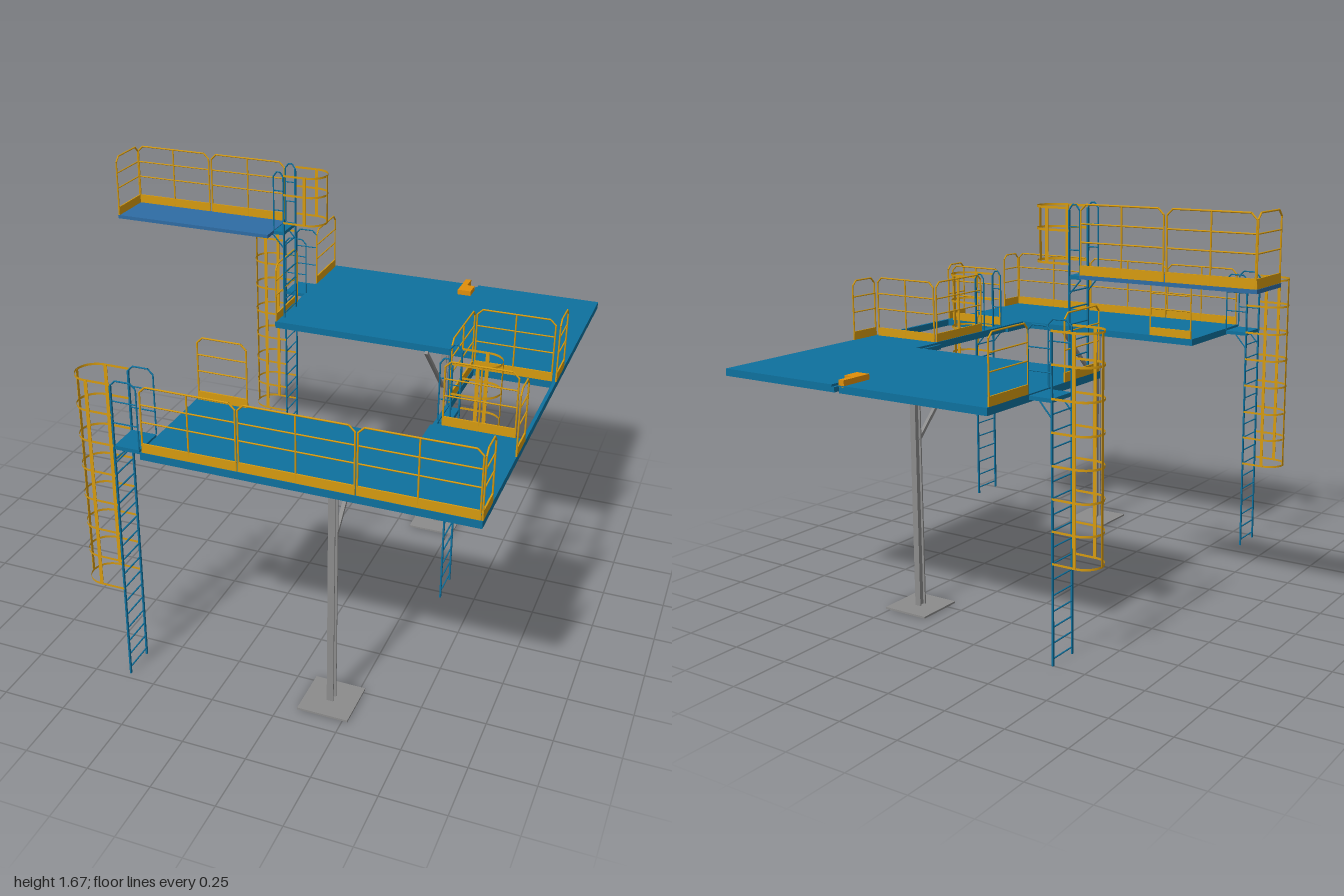
import * as THREE from 'three';
import { mergeGeometries } from 'three/addons/utils/BufferGeometryUtils.js';

const mat = (color, extra = {}) => new THREE.MeshStandardMaterial({ color, ...extra });
const BLUE = mat(0x0e719e), UPPER = mat(0x2e6ca4), GOLD = mat(0xd59a10), ORANGE = mat(0xe08e0a), GREY = mat(0x8c8c8c);
const STRAP = mat(0xd59a10, { side: THREE.DoubleSide });

// Box from its minimum and maximum corners
function box(x0, x1, y0, y1, z0, z1) {
  return new THREE.BoxGeometry(x1 - x0, y1 - y0, z1 - z0)
    .translate((x0 + x1) / 2, (y0 + y1) / 2, (z0 + z1) / 2);
}

// Round bar between two points
function bar(a, b, r = 0.0035) {
  const p = new THREE.Vector3(...a), q = new THREE.Vector3(...b), d = q.clone().sub(p);
  const g = new THREE.CylinderGeometry(r, r, d.length(), 8);
  g.applyQuaternion(new THREE.Quaternion().setFromUnitVectors(new THREE.Vector3(0, 1, 0), d.normalize()));
  return g.translate(...p.add(q).multiplyScalar(0.5).toArray());
}

const path = (pts, r) => pts.slice(1).map((p, i) => bar(pts[i], p, r));

function mesh(name, geometries, material) {
  const m = new THREE.Mesh(mergeGeometries(geometries.map(g => g.index ? g.toNonIndexed() : g)), material);
  m.name = name;
  return m;
}

// Guard rail panel with chamfered top corners, two mid rails and a toe board
function railing(x0, z0, x1, z1, y) {
  const len = Math.hypot(x1 - x0, z1 - z0);
  const at = (s, h) => [x0 + (x1 - x0) * s / len, y + h, z0 + (z1 - z0) * s / len];
  const top = 0.257, c = 0.022;
  const parts = path([at(0, 0), at(0, top - c), at(c, top), at(len - c, top), at(len, top - c), at(len, 0)]);
  for (const h of [0.12, 0.187]) parts.push(bar(at(0, h), at(len, h), 0.003));
  if (len > 0.26) parts.push(bar(at(len / 2, 0), at(len / 2, top)));
  const t = 0.003;
  parts.push(box(Math.min(x0, x1) - t, Math.max(x0, x1) + t, y, y + 0.036, Math.min(z0, z1) - t, Math.max(z0, z1) + t));
  return mesh('guardRail', parts, GOLD);
}

// Flat cage hoop: straight sides and a half circle
function hoop(x, y, z, dir, r, reach) {
  const n = 18, g = new THREE.PlaneGeometry(1, 0.009, n, 1), p = g.attributes.position;
  for (let i = 0; i < p.count; i++) {
    const k = i % (n + 1), a = (k - 1) / (n - 2) * Math.PI - Math.PI / 2;
    const end = k === 0 || k === n;
    p.setX(i, end ? x : x + dir * (reach + Math.cos(a) * r));
    p.setZ(i, z + (end ? (k ? r : -r) : Math.sin(a) * r));
    p.setY(i, p.getY(i) + y);
  }
  g.computeVertexNormals();
  return g;
}

// Ladder with landing step, hand rails and safety cage; dir is the cage side in x
function ladder({ x, z, dir, y0, deck, depth, hoops }) {
  const group = new THREE.Group();
  group.name = 'cagedLadder';
  const half = 0.065, top = deck + 0.255, inner = x - dir * depth, parts = [];
  for (const s of [-1, 1]) {
    const zs = z + s * half;
    parts.push(box(x - 0.003, x + 0.003, y0, top - 0.02, zs - 0.0045, zs + 0.0045));
    const c = Math.min(0.02, depth / 3) * dir;
    parts.push(...path([[x, top - 0.02, zs], [x - c, top, zs], [inner + c, top, zs],
      [inner, top - 0.02, zs], [inner, deck, zs]], 0.003));
    for (const h of [0.09, 0.175]) parts.push(bar([x, deck + h, zs], [inner, deck + h, zs], 0.0025));
    parts.push(bar([x, deck - 0.075, zs], [x - dir * 0.05, deck - 0.018, zs], 0.003));
  }
  for (let y = y0 + 0.028; y < deck - 0.01; y += 0.0615)
    parts.push(bar([x, y, z - half], [x, y, z + half], 0.003));
  parts.push(box(Math.min(x, inner), Math.max(x, inner), deck - 0.018, deck - 0.003, z - half, z + half));
  group.add(mesh('ladder', parts, BLUE));

  const r = 0.07, reach = 0.1, w = 0.007, lo = hoops[0], hi = hoops[hoops.length - 1];
  const cage = hoops.map(y => hoop(x, y, z, dir, r, reach));
  const xs = x + dir * (reach - 0.005), xa = x + dir * (reach + r);
  for (const s of [-1, 1]) cage.push(box(xs - w, xs + w, lo, hi, z + s * r - 0.001, z + s * r + 0.001));
  cage.push(box(xa - 0.001, xa + 0.001, lo, hi, z - w, z + w));
  group.add(mesh('safetyCage', cage, STRAP));
  return group;
}

// Deck plate from a plan outline of [x, z] corners
function plate(points, y0, y1) {
  const shape = new THREE.Shape(points.map(([x, z]) => new THREE.Vector2(x, -z)));
  return new THREE.ExtrudeGeometry(shape, { depth: y1 - y0, bevelEnabled: false })
    .rotateX(-Math.PI / 2).translate(0, y0, 0);
}

// Beams along the outline, plus joists across a rectangle
function framing(points, [x0, x1, z0, z1], nx, nz) {
  const b = 0.012, lo = 0.983, hi = 1.003, parts = [];
  points.forEach(([ax, az], i) => {
    const [bx, bz] = points[(i + 1) % points.length];
    const cx = (x0 + x1) / 2, cz = (z0 + z1) / 2;
    if (Math.abs(ax - bx) < 1e-6) {
      const s = ax > cx ? -b : b;
      parts.push(box(Math.min(ax, ax + s), Math.max(ax, ax + s), lo, hi, Math.min(az, bz), Math.max(az, bz)));
    } else {
      const s = az > cz ? -b : b;
      parts.push(box(Math.min(ax, bx), Math.max(ax, bx), lo, hi, Math.min(az, az + s), Math.max(az, az + s)));
    }
  });
  for (let i = 1; i < nx; i++) {
    const x = x0 + (x1 - x0) * i / nx;
    parts.push(box(x - b / 2, x + b / 2, lo + 0.002, hi, z0, z1));
  }
  for (let i = 1; i < nz; i++) {
    const z = z0 + (z1 - z0) * i / nz;
    parts.push(box(x0, x1, lo + 0.002, hi, z - b / 2, z + b / 2));
  }
  return parts;
}

export function createModel() {
  const model = new THREE.Group();
  model.name = 'accessPlatform';

  // Two main decks
  const back = [[-0.265, -1], [0.405, -1], [0.405, -0.93], [0.44, -0.93], [0.44, -1], [0.99, -1],
    [0.99, -0.115], [0.64, -0.115], [0.64, -0.265], [-0.265, -0.265]];
  const front = [[-0.25, 0.53], [0.645, 0.53], [0.645, 0.39], [0.99, 0.39], [0.99, 0.99], [-0.25, 0.99]];
  const backEdge = [[-0.265, -1], [0.405, -1], [0.405, -0.93], [0.44, -0.93], [0.44, -1], ...back.slice(5)];
  model.add(mesh('backDeck', [plate(back, 1.002, 1.012),
    ...framing(backEdge, [-0.265, 0.99, -0.925, -0.265], 6, 4)], BLUE));
  model.add(mesh('frontDeck', [plate(front, 1.002, 1.012),
    ...framing(front, [-0.25, 0.99, 0.53, 0.99], 6, 3)], BLUE));

  // Beams joining the decks
  model.add(mesh('linkBeams', [box(0.645, 0.658, 0.983, 1.012, -0.12, 0.395),
    box(0.977, 0.99, 0.983, 1.012, -0.12, 0.395)], BLUE));

  // Raised side platform
  model.add(mesh('upperPlatform', [box(-1, -0.29, 1.39, 1.405, -0.455, -0.255)], UPPER));

  // Orange fitting at the deck notch
  model.add(mesh('notchFitting', [box(0.38, 0.405, 1.005, 1.034, -1, -0.86),
    box(0.405, 0.44, 1.005, 1.034, -0.93, -0.86)], ORANGE));

  // Support columns with base plates and diagonal braces
  for (const [z, dir] of [[0.832, -1], [-0.55, 1]]) {
    const parts = [box(0.32, 0.52, 0, 0.008, z - 0.1, z + 0.1), box(0.416, 0.424, 0.008, 0.985, z - 0.015, z + 0.015)];
    for (const s of [-1, 1])
      parts.push(box(0.407, 0.433, 0.008, 0.985, z + s * 0.015 - 0.003, z + s * 0.015 + 0.003));
    const brace = new THREE.BoxGeometry(0.014, 0.4, 0.014).rotateX(dir * Math.PI / 4);
    parts.push(brace.translate(0.42, 0.843, z + dir * 0.155));
    model.add(mesh('column', parts, GREY));
  }

  // Guard rails: [x0, z0, x1, z1]
  const rails = [
    [-0.24, 0.985, 0.12, 0.985], [0.13, 0.985, 0.55, 0.985], [0.56, 0.985, 0.98, 0.985],
    [0.988, 0.865, 0.988, 0.985], [0.988, 0.41, 0.988, 0.53], [0.988, -0.26, 0.988, -0.12],
    [0.68, 0.395, 0.95, 0.395], [0.66, -0.118, 0.97, -0.118], [0.652, -0.11, 0.652, 0.21],
    [-0.24, 0.533, -0.04, 0.533], [-0.262, -0.51, -0.262, -0.27], [-0.262, -0.985, -0.262, -0.75],
  ];
  for (const r of rails) model.add(railing(...r, 1.012));
  for (const r of [[-0.992, -0.452, -0.65, -0.452], [-0.637, -0.452, -0.295, -0.452], [-0.995, -0.45, -0.995, -0.258]])
    model.add(railing(...r, 1.405));

  // Ladders
  const side = { x: -0.363, dir: -1, y0: 0, deck: 1.01, depth: 0.1,
    hoops: [0.397, 0.52, 0.641, 0.764, 0.886, 1.008, 1.131, 1.25] };
  model.add(ladder({ ...side, z: 0.905 }), ladder({ ...side, z: -0.685 }));
  model.add(ladder({ x: 0.698, z: 0.3, dir: 1, y0: 0.237, deck: 1.01, depth: 0.045,
    hoops: [0.645, 0.765, 0.887, 1.008, 1.131, 1.25] }));
  model.add(ladder({ x: -0.245, z: -0.387, dir: 1, y0: 1.005, deck: 1.405, depth: 0.045,
    hoops: [1.443, 1.565, 1.647] }));
  return model;
}
